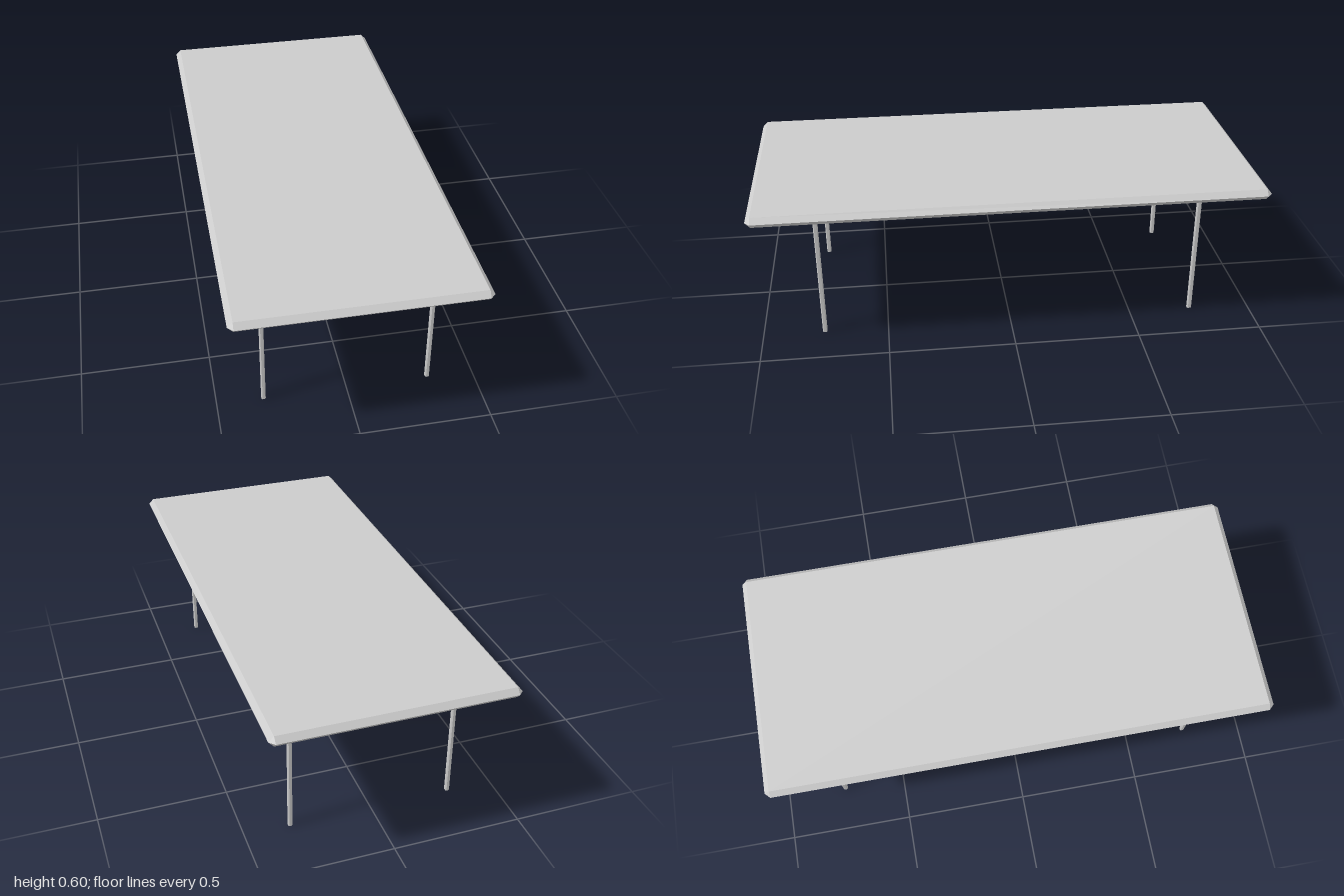
import * as THREE from 'three';
import { ConvexGeometry } from 'three/addons/geometries/ConvexGeometry.js';

const material = new THREE.MeshStandardMaterial({ color: 0xcccccc, flatShading: true });

function addMesh(parent, geometry, name) {
  const mesh = new THREE.Mesh(geometry, material);
  mesh.name = name;
  parent.add(mesh);
  return mesh;
}

// Square bar with chamfered long edges, running along +z and centred
function barGeometry(width, depth, length) {
  const w = width / 2, d = depth / 2, c = 0.004;
  const shape = new THREE.Shape([
    [w, -d + c], [w, d - c], [w - c, d], [-w + c, d],
    [-w, d - c], [-w, -d + c], [-w + c, -d], [w - c, -d],
  ].map(([x, y]) => new THREE.Vector2(x, y)));
  return new THREE.ExtrudeGeometry(shape, { depth: length, bevelEnabled: false })
    .translate(0, 0, -length / 2);
}

// Slab with a pointed edge and clipped corners
function topGeometry() {
  const X = 0.462, Z = 1, b = 0.02;
  const points = [];
  for (const sx of [-1, 1]) for (const sz of [-1, 1]) {
    for (const y of [0.56, 0.602]) points.push(new THREE.Vector3(sx * (X - b), y, sz * (Z - b)));
    points.push(new THREE.Vector3(sx * X, 0.581, sz * (Z - b)));
    points.push(new THREE.Vector3(sx * (X - b), 0.581, sz * Z));
  }
  return new ConvexGeometry(points);
}

export function createModel() {
  const table = new THREE.Group();
  table.name = 'table';
  addMesh(table, topGeometry(), 'tableTop');

  // Two portal frames: a pair of legs joined by a rail set against the top
  const legX = 0.321, legHeight = 0.561;
  const legGeometry = barGeometry(0.0165, 0.0185, legHeight).rotateX(-Math.PI / 2);
  const railGeometry = barGeometry(0.0185, 0.0165, legX * 2).rotateY(Math.PI / 2);
  for (const [z, end] of [[0.755, 'front'], [-0.755, 'back']]) {
    const frame = new THREE.Group();
    frame.name = end + 'Frame';
    frame.position.z = z;
    for (const [x, side] of [[legX, 'Left'], [-legX, 'Right']]) {
      addMesh(frame, legGeometry, end + side + 'Leg').position.set(x, legHeight / 2, 0);
    }
    addMesh(frame, railGeometry, end + 'Rail').position.y = 0.561;
    table.add(frame);
  }
  return table;
}
